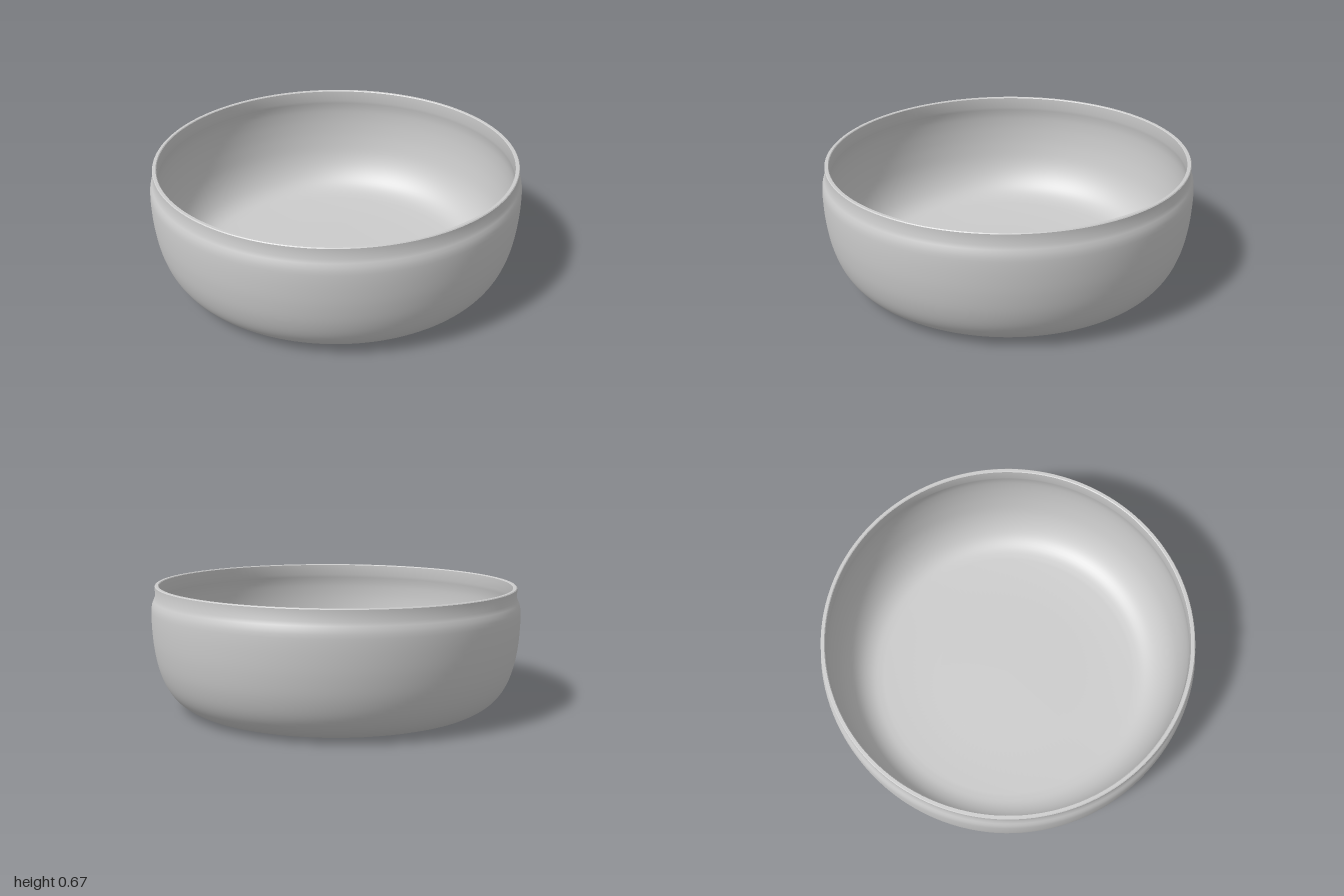
import * as THREE from 'three';
import { toCreasedNormals } from 'three/addons/utils/BufferGeometryUtils.js';

// Smooth run of profile points through a few [radius, height] pairs
function smooth(pairs, count) {
  return new THREE.SplineCurve(pairs.map(([r, y]) => new THREE.Vector2(r, y))).getSpacedPoints(count);
}

export function createModel() {
  const group = new THREE.Group();
  group.name = 'bowl';

  // Outside: rounded foot, upright wall, soft shoulder tucked in under the rim
  const outer = smooth([
    [0.76, 0.005], [0.82, 0.02], [0.885, 0.065], [0.935, 0.135], [0.97, 0.23],
    [0.99, 0.34], [0.998, 0.45], [0.997, 0.54], [0.988, 0.575], [0.977, 0.6],
  ], 36);
  // Inside: straight collar, then a shallow recess, wall and wide curve to the floor
  const inner = smooth([
    [0.955, 0.595], [0.962, 0.565], [0.968, 0.52], [0.968, 0.44], [0.958, 0.34], [0.936, 0.235],
    [0.9, 0.15], [0.85, 0.085], [0.79, 0.048], [0.72, 0.035],
  ], 36);
  const profile = [
    new THREE.Vector2(0, 0), new THREE.Vector2(0.4, 0.001),
    ...outer,
    new THREE.Vector2(0.977, 0.656), new THREE.Vector2(0.973, 0.66),
    new THREE.Vector2(0.959, 0.66), new THREE.Vector2(0.955, 0.656),
    ...inner,
    new THREE.Vector2(0.4, 0.033), new THREE.Vector2(0, 0.033),
  ];
  const geometry = new THREE.LatheGeometry(profile, 128);

  // Hand-made unevenness: the rim rises slightly to one side
  const pos = geometry.attributes.position;
  for (let i = 0; i < pos.count; i++) {
    const x = pos.getX(i), z = pos.getZ(i);
    pos.setY(i, pos.getY(i) * (1 + 0.011 * x - 0.004 * z));
  }

  const body = new THREE.Mesh(
    toCreasedNormals(geometry, 0.7),
    new THREE.MeshStandardMaterial({ color: 0xcccccc }),
  );
  body.name = 'bowlBody';
  group.add(body);
  return group;
}
